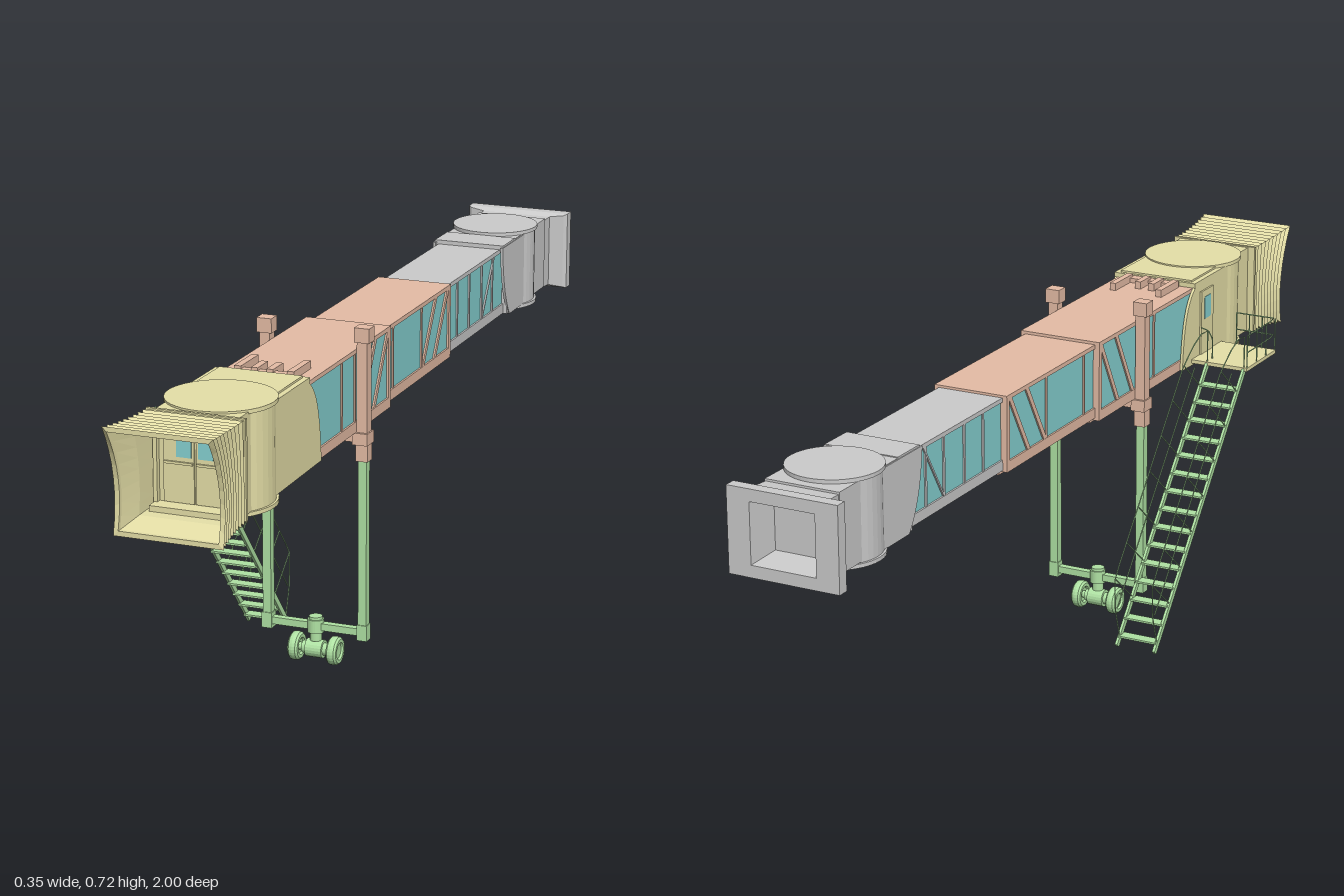
import * as THREE from 'three';

const mat = (color) => new THREE.MeshStandardMaterial({ color, flatShading: true, side: THREE.DoubleSide });
const smooth = (color) => new THREE.MeshStandardMaterial({ color });
const CX = 0.056; // centre line of the walkway
const V = (x, y, z) => new THREE.Vector3(x, y, z);

export function createModel() {
  const root = new THREE.Group();
  const grey = mat(0xcccccc), salmon = mat(0xe6bda6), yellow = mat(0xe6e0a8);
  const green = mat(0xb0e3a4), glass = mat(0x86d2d2), greenSmooth = smooth(0xb0e3a4);

  const add = (parent, name, geo, m) => {
    const mesh = new THREE.Mesh(geo, m);
    mesh.name = name;
    parent.add(mesh);
    return mesh;
  };
  const group = (name) => {
    const g = new THREE.Group();
    g.name = name;
    root.add(g);
    return g;
  };
  const box = (p, name, m, x0, x1, y0, y1, z0, z1) =>
    add(p, name, new THREE.BoxGeometry(x1 - x0, y1 - y0, z1 - z0)
      .translate((x0 + x1) / 2, (y0 + y1) / 2, (z0 + z1) / 2), m);
  // box centred on the walkway
  const mid = (p, name, m, hw, y0, y1, z0, z1) => box(p, name, m, CX - hw, CX + hw, y0, y1, z0, z1);
  const drum = (p, name, m, r, y0, y1, z) =>
    add(p, name, new THREE.CylinderGeometry(r, r, y1 - y0, 40).translate(CX, (y0 + y1) / 2, z), m);
  // straight bar between two points with a rectangular section (w across x)
  const bar = (p, name, m, a, b, w, h) => {
    const mesh = add(p, name, new THREE.BoxGeometry(w, h, a.distanceTo(b)), m);
    mesh.position.copy(a).lerp(b, 0.5);
    mesh.lookAt(b);
  };
  const wire = (p, name, pts) => {
    const path = new THREE.CurvePath();
    for (let i = 1; i < pts.length; i++) path.add(new THREE.LineCurve3(pts[i - 1], pts[i]));
    add(p, name, new THREE.TubeGeometry(path, (pts.length - 1) * 4, 0.0014, 5), greenSmooth);
  };
  // shape in the (z, y) plane, given a thickness along x
  const sidePlate = (p, name, m, shape, x, t) =>
    add(p, name, new THREE.ExtrudeGeometry(shape, { depth: t, bevelEnabled: false, curveSegments: 10 })
      .rotateY(-Math.PI / 2).translate(x + t / 2, 0, 0), m);
  // rectangular rings [halfWidth, halfHeight, z(v)] joined in order, v = -1 bottom .. 1 top
  const loft = (rings, cy, n = 8) => {
    const pos = [], idx = [], count = n * 4;
    const corners = [[-1, -1], [1, -1], [1, 1], [-1, 1]];
    rings.forEach(([hw, hh, z], r) => {
      for (let i = 0; i < count; i++) {
        const a = corners[Math.floor(i / n)], b = corners[(Math.floor(i / n) + 1) % 4], f = (i % n) / n;
        const u = a[0] + (b[0] - a[0]) * f, v = a[1] + (b[1] - a[1]) * f;
        pos.push(CX + u * hw, cy + v * hh, z(v));
        if (r) {
          const j = (i + 1) % count, q = (r - 1) * count, s = r * count;
          idx.push(q + i, q + j, s + j, q + i, s + j, s + i);
        }
      }
    });
    const g = new THREE.BufferGeometry();
    g.setAttribute('position', new THREE.Float32BufferAttribute(pos, 3));
    g.setIndex(idx);
    const flat = g.toNonIndexed();
    flat.computeVertexNormals();
    return flat;
  };

  // ---- telescoping tunnel: three nested sections with glazed sides
  const section = (name, m, hw, y0, y1, zBack, zFront, posts, braces, t) => {
    const g = group(name);
    mid(g, 'glazing', glass, hw - 0.004, y0 + 0.005, y1 - 0.004, zBack + 0.001, zFront);
    mid(g, 'roof', m, hw, y1 - 0.009, y1, zBack, zFront);
    mid(g, 'floor', m, hw, y0, y0 + 0.022, zBack, zFront);
    mid(g, 'endWall', m, hw - 0.002, y0, y1, zBack, zBack + 0.003);
    for (const s of [-1, 1]) {
      const x = CX + s * (hw - 0.003);
      box(g, 'endPost', m, x - 0.003, x + 0.003, y0, y1, zBack, zBack + 0.012);
      for (const z of posts) box(g, 'windowPost', m, x - 0.002, x + 0.002, y0, y1, z - 0.003, z + 0.003);
      for (const z of braces)
        bar(g, 'diagonalBrace', m, V(x, y0 + 0.018, z), V(x, y1 - 0.006, z - 0.08), 0.005, t);
      box(g, 'underRail', m, CX + s * hw * 0.65 - 0.01, CX + s * hw * 0.65 + 0.01, y0 - 0.008, y0, zBack, zFront);
    }
  };
  section('outerTunnel', salmon, 0.092, 0.503, 0.674, 0.08, 0.54, [0.34, 0.27], [0.24, 0.17], 0.011);
  section('middleTunnel', salmon, 0.082, 0.508, 0.668, -0.3, 0.08, [0.035, -0.13], [-0.135, -0.205], 0.011);
  section('innerTunnel', grey, 0.072, 0.511, 0.663, -0.7, -0.3, [-0.375, -0.45, -0.53, -0.6], [-0.53], 0.004);

  // ---- roof fittings at the front of the outer tunnel
  const fit = group('roofFittings');
  mid(fit, 'crossBar', salmon, 0.06, 0.674, 0.684, 0.5, 0.53);
  for (const x of [-0.055, -0.02, 0.012, 0.055])
    box(fit, 'bracket', salmon, CX + x - 0.007, CX + x + 0.007, 0.674, 0.69, Math.abs(x) > 0.05 ? 0.43 : 0.465, 0.515);

  // ---- rear rotunda
  const rear = group('rearRotunda');
  mid(rear, 'body', grey, 0.08, 0.51, 0.67, -0.93, -0.67);
  mid(rear, 'roofLip', grey, 0.08, 0.66, 0.672, -0.72, -0.64);
  drum(rear, 'drum', grey, 0.09, 0.505, 0.673, -0.815);
  for (const y of [0.5, 0.67]) drum(rear, 'rim', grey, 0.095, y, y + 0.008, -0.815);
  mid(rear, 'underTray', grey, 0.045, 0.498, 0.511, -0.78, -0.3);
  const rearEdge = new THREE.Shape();
  rearEdge.moveTo(-0.79, 0.507);
  rearEdge.lineTo(-0.685, 0.507);
  rearEdge.bezierCurveTo(-0.66, 0.54, -0.64, 0.58, -0.632, 0.668);
  rearEdge.lineTo(-0.79, 0.668);
  for (const s of [-1, 1]) sidePlate(rear, 'sidePlate', grey, rearEdge, CX + s * 0.079, 0.006);
  // flanged opening towards the building
  const collar = [[0.078, 0.078, -0.92], [0.08, 0.08, -0.962], [0.112, 0.084, -0.968], [0.119, 0.087, -0.975],
    [0.119, 0.087, -1], [0.07, 0.062, -1], [0.058, 0.052, -0.935], [0, 0, -0.935]];
  add(rear, 'buildingCollar', loft(collar.map(([w, h, z]) => [w, h, () => z]), 0.587, 1), grey);

  // ---- cab with front rotunda
  const cab = group('cab');
  mid(cab, 'hood', yellow, 0.092, 0.503, 0.682, 0.535, 0.72);
  mid(cab, 'hoodRoof', yellow, 0.086, 0.682, 0.689, 0.53, 0.7);
  mid(cab, 'roofEdge', yellow, 0.098, 0.675, 0.685, 0.522, 0.7);
  drum(cab, 'drum', yellow, 0.102, 0.492, 0.688, 0.717);
  for (const y of [0.486, 0.684]) drum(cab, 'rim', yellow, 0.107, y, y + 0.008, 0.717);
  mid(cab, 'neck', yellow, 0.084, 0.493, 0.688, 0.72, 0.83);
  const cabEdge = new THREE.Shape();
  cabEdge.moveTo(0.7, 0.5);
  cabEdge.lineTo(0.465, 0.503);
  cabEdge.bezierCurveTo(0.472, 0.6, 0.485, 0.655, 0.535, 0.68);
  cabEdge.lineTo(0.7, 0.68);
  for (const s of [-1, 1]) sidePlate(cab, 'sidePlate', yellow, cabEdge, CX + s * 0.095, 0.006);
  box(cab, 'sideDoor', yellow, -0.046, -0.04, 0.517, 0.66, 0.55, 0.61);
  box(cab, 'sideDoorWindow', glass, -0.047, -0.04, 0.595, 0.645, 0.565, 0.595);

  // doors seen through the bellows
  mid(cab, 'doorWall', yellow, 0.1, 0.494, 0.69, 0.827, 0.834);
  for (const s of [-1, 1]) {
    const x = CX + s * 0.033;
    box(cab, 'doorLeaf', yellow, x - 0.031, x + 0.031, 0.515, 0.668, 0.834, 0.838);
    box(cab, 'doorRail', yellow, x - 0.029, x + 0.029, 0.59, 0.595, 0.838, 0.842);
    box(cab, 'doorWindow', glass, x * 1 - s * 0.011 - 0.015, x - s * 0.011 + 0.015, 0.604, 0.656, 0.838, 0.84);
    box(cab, 'doorJamb', yellow, CX + s * 0.078 - 0.004, CX + s * 0.078 + 0.004, 0.5, 0.685, 0.834, 0.845);
  }
  mid(cab, 'sill', yellow, 0.08, 0.5, 0.514, 0.834, 0.87);
  mid(cab, 'lintel', yellow, 0.08, 0.672, 0.685, 0.834, 0.845);

  // ---- pleated bellows, front edge scooped to fit a rounded hull
  const reach = (v) => 0.13 + 0.02 * v + 0.025 * v * v - 0.004;
  const rings = [], pleats = 9;
  for (let i = 0; i <= pleats * 2; i++) {
    const t = i / (pleats * 2), inset = i % 2 ? 0.006 : 0;
    const grow = 0.01 * t * t - inset;
    rings.push([0.1 + grow, 0.1 + grow, (v) => 0.829 + t * reach(v)]);
  }
  for (const [h, t] of [[0.1, 1], [0.1, 0.93], [0.088, 0.5], [0.086, 0.02]])
    rings.push([h, h, (v) => 0.829 + t * reach(v)]);
  add(cab, 'bellows', loft(rings, 0.59), yellow);

  // ---- lifting columns
  const lift = group('liftColumns');
  const ZL = 0.257;
  const block = (name, m, x, hx, y0, y1, hz) => box(lift, name, m, x - hx, x + hx, y0, y1, ZL - hz, ZL + hz);
  for (const s of [-1, 1]) {
    const x = CX + s * 0.104;
    block('columnSleeve', salmon, x, 0.011, 0.46, 0.7, 0.012);
    block('columnCap', salmon, x, 0.016, 0.688, 0.718, 0.015);
    block('columnBracket', salmon, x - s * 0.002, 0.016, 0.478, 0.503, 0.018);
    block('columnCollar', salmon, x, 0.0125, 0.443, 0.478, 0.013);
    block('leg', green, x, 0.009, 0.07, 0.45, 0.009);
    block('legFoot', green, x, 0.011, 0.063, 0.096, 0.011);
  }
  block('upperCrossBeam', salmon, CX, 0.1, 0.482, 0.503, 0.012);
  block('lowerCrossBeam', green, CX, 0.1, 0.072, 0.087, 0.008);

  // ---- wheel bogie
  const bogie = group('bogie');
  const pivot = (r, y0, y1) =>
    add(bogie, 'pivot', new THREE.CylinderGeometry(r, r, y1 - y0, 20).translate(CX, (y0 + y1) / 2, ZL), green);
  pivot(0.012, 0.048, 0.09);
  pivot(0.017, 0.066, 0.094);
  pivot(0.014, 0.094, 0.1);
  const axle = (r, w) => add(bogie, 'axle', new THREE.CylinderGeometry(r, r, w, 20)
    .rotateZ(Math.PI / 2).translate(CX, 0.03, ZL), green);
  axle(0.008, 0.09);
  axle(0.013, 0.055);
  axle(0.019, 0.036);
  const tyre = [[0.004, -0.006], [0.015, -0.007], [0.018, -0.011], [0.025, -0.011], [0.029, -0.007], [0.03, 0],
    [0.029, 0.007], [0.025, 0.011], [0.018, 0.011], [0.015, 0.007], [0, 0.006]].map(([r, h]) => new THREE.Vector2(r, h));
  for (const s of [-1, 1]) {
    const wheel = add(bogie, 'wheel', new THREE.LatheGeometry(tyre, 28), mat(0xb0e3a4));
    wheel.rotation.z = -s * Math.PI / 2;
    wheel.position.set(CX + s * 0.042, 0.03, ZL);
  }

  // ---- service stairs
  const stairs = group('stairs');
  const X0 = -0.166, X1 = -0.078;
  const at = (x, t, h = 0) => V(x, 0.004 + 0.506 * t + 0.645 * h, 0.085 + 0.43 * t - 0.765 * h);
  for (const x of [X0, X1]) {
    bar(stairs, 'stringer', green, at(x, 0), at(x, 1), 0.006, 0.012);
    wire(stairs, 'handrail', [at(x, 0.03), V(x, 0.09, 0.076), at(x, 0.17, 0.11), at(x, 0.92, 0.11), V(x, 0.587, 0.47), V(x, 0.587, 0.515), V(x, 0.515, 0.515)]);
    wire(stairs, 'midRail', [at(x, 0.1, 0.055), at(x, 0.95, 0.055)]);
    for (let i = 0; i < 7; i++) wire(stairs, 'railPost', [at(x, 0.17 + i * 0.125), at(x, 0.17 + i * 0.125, 0.11)]);
  }
  for (let i = 0; i < 15; i++) {
    const y = 0.0225 + i * 0.0322, z = 0.085 + (y / 0.506) * 0.43;
    box(stairs, 'tread', green, X0, X1, y - 0.002, y + 0.002, z - 0.014, z + 0.012);
  }

  // ---- landing beside the cab
  const landing = group('landing');
  box(landing, 'deck', yellow, -0.175, -0.035, 0.508, 0.516, 0.51, 0.662);
  const corners = [[-0.173, 0.515], [-0.173, 0.66], [-0.08, 0.66]];
  for (const y of [0.55, 0.588]) wire(landing, 'guardRail', corners.map(([x, z]) => V(x, y, z)));
  for (const [x, z] of [...corners, [-0.173, 0.565], [-0.173, 0.613], [-0.142, 0.66], [-0.111, 0.66]])
    wire(landing, 'guardPost', [V(x, 0.514, z), V(x, 0.588, z)]);
  wire(landing, 'grabRail', [V(X1, 0.515, 0.54), V(X1, 0.56, 0.54), V(-0.068, 0.578, 0.54), V(-0.05, 0.582, 0.54)]);

  return root;
}
